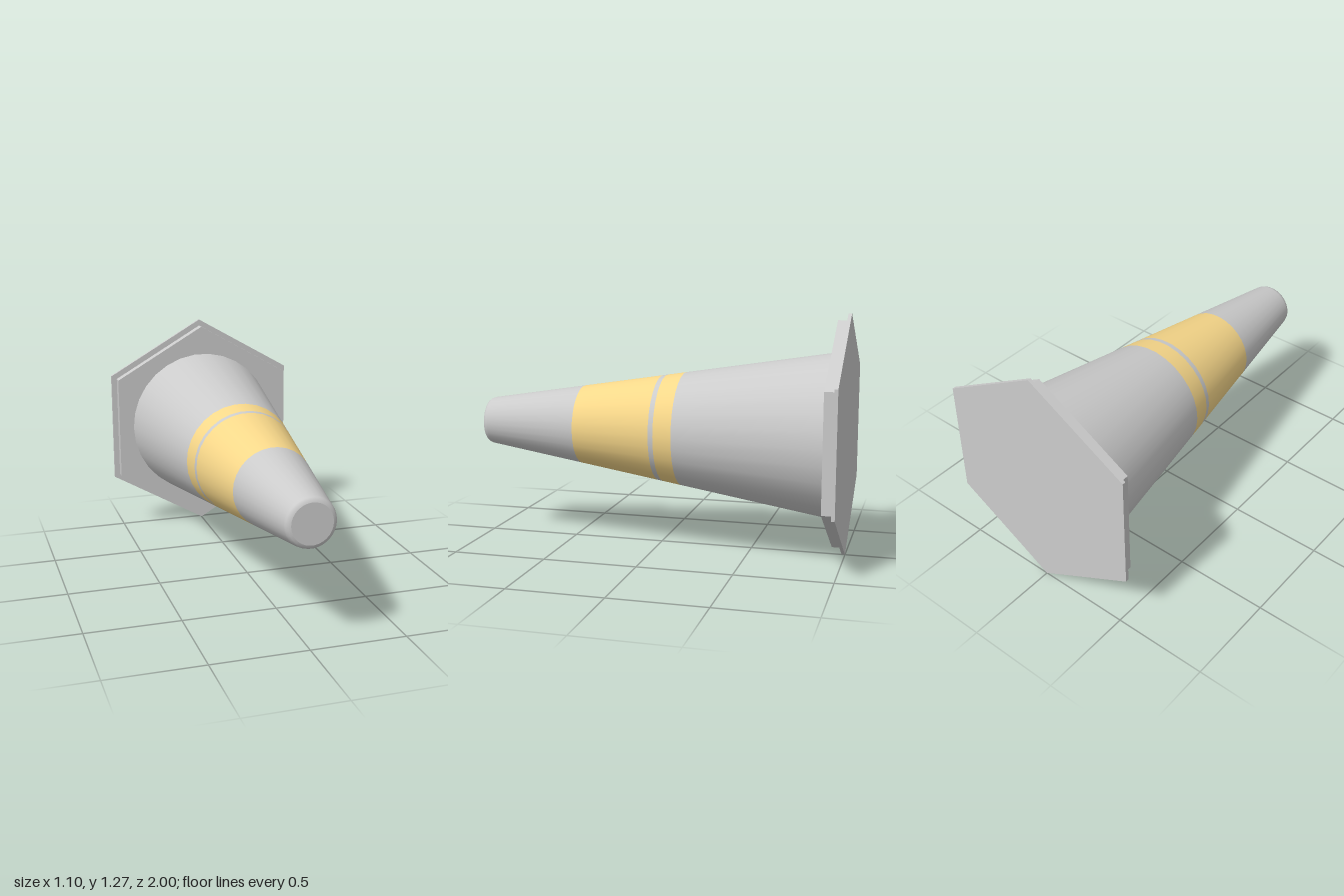
import * as THREE from 'three';

const CENTRE_Y = 0.634;
const SIDES = 30;

// Radius of the tapering body at a distance z along its axis
const radiusAt = (z) => 0.432 - (z + 0.93) * 0.159;

export function createModel() {
  const model = new THREE.Group();
  model.name = 'trafficCone';
  const grey = new THREE.MeshStandardMaterial({ color: 0xcccccc });
  const faceted = new THREE.MeshStandardMaterial({ color: 0xcccccc, flatShading: true });
  const yellow = new THREE.MeshStandardMaterial({ color: 0xf8d88a });

  const add = (name, geometry, material) => {
    const mesh = new THREE.Mesh(geometry, material);
    mesh.name = name;
    mesh.position.y = CENTRE_Y;
    model.add(mesh);
  };

  // Revolve [radius, z] points about the z axis
  const revolve = (points) =>
    new THREE.LatheGeometry(points.map(([r, z]) => new THREE.Vector2(r, z)), SIDES, Math.PI / 2)
      .rotateX(Math.PI / 2);

  // Two stacked hexagonal plates with a corner at the top and bottom
  const plate = (name, radius, z0, z1) =>
    add(name, new THREE.CylinderGeometry(radius, radius, z1 - z0, 6)
      .rotateX(Math.PI / 2).translate(0, 0, (z0 + z1) / 2), faceted);
  plate('baseRim', 0.634, -1, -0.982);
  plate('basePlate', 0.598, -0.982, -0.93);

  // Tapering body with its coloured bands
  const sections = [
    ['lowerBody', -0.93, -0.128, grey],
    ['narrowBand', -0.128, -0.027, yellow],
    ['bandGap', -0.027, 0, grey],
    ['wideBand', 0, 0.442, yellow],
    ['upperBody', 0.442, 0.972, grey],
  ];
  for (const [name, z0, z1, material] of sections) {
    add(name, revolve([[radiusAt(z0), z0], [radiusAt(z1), z1]]), material);
  }

  // Rounded lip and flat end of the tip
  const r = radiusAt(0.972);
  add('tipEdge', revolve([[r, 0.972], [r - 0.004, 0.985], [r - 0.012, 0.995], [r - 0.025, 1]]), grey);
  add('tipCap', new THREE.CircleGeometry(r - 0.025, SIDES).translate(0, 0, 1), grey);

  return model;
}
